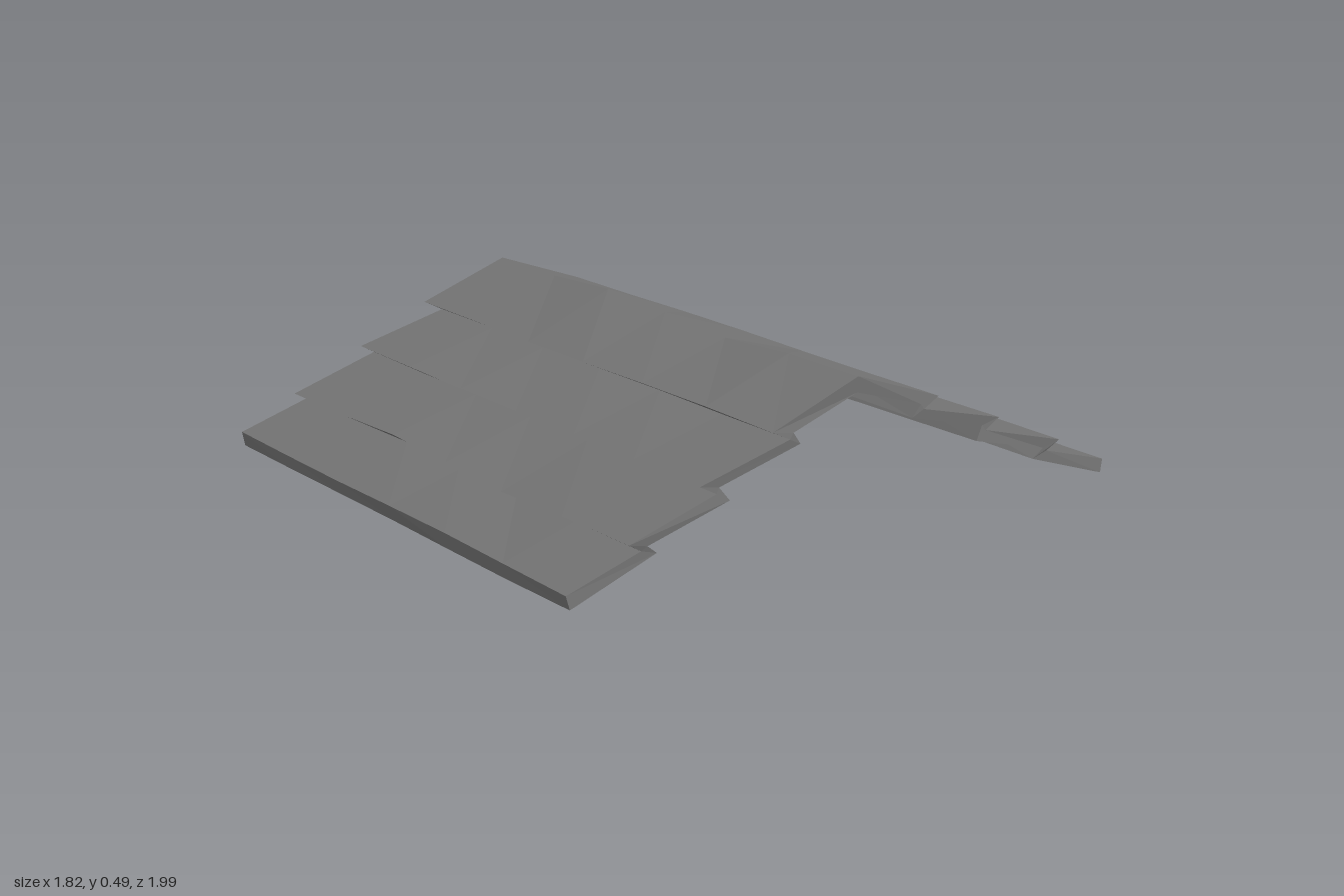
import * as THREE from 'three';

// Half of the roof section as [z, y]: ridge to eave outside, then eave to ridge underneath
const half = [
  [0, 0.478], [0.305, 0.369], [0.245, 0.34], [0.553, 0.259], [0.5, 0.232],
  [0.798, 0.146], [0.75, 0.119], [0.993, 0.05], [0.985, 0.006],
  [0.7, 0.104], [0.734, 0.132], [0.455, 0.203], [0.485, 0.248],
  [0.208, 0.32], [0.237, 0.355], [0, 0.43],
];
const mirrored = half.slice(1, -1).reverse().map(([z, y]) => [-z, y]);
const section = [...half, ...mirrored];

// Stations along the ridge, and how much the ridge sags at each
const stations = [-0.91, -0.6, -0.3, 0, 0.3, 0.6, 0.907];
const ridgeSag = [0, -0.002, 0.013, -0.002, -0.018, 0, 0];

// Hand-hewn unevenness of one section point at one station
function sectionPoint(i, s) {
  const [z, y] = section[i];
  const end = s === 0 || s === stations.length - 1;
  const wave = Math.sin(s * 1.3 + i * 2.3) * 0.002;
  let lift = wave;
  if (z === 0) lift = ridgeSag[s] * (y > 0.45 ? 1 : 0.6);
  else if (y > 0.1 && y < 0.15) lift = ridgeSag[s] * 0.5 + wave;
  return new THREE.Vector3(
    stations[s] + (end ? Math.sin(i * 4.1 + s) * 0.004 : 0),
    Math.max(0, y + lift),
    z + (z === 0 ? 0 : Math.cos(s * 1.6 + i * 1.3) * 0.003),
  );
}

function roofGeometry() {
  const n = section.length;
  const positions = [];
  const tri = (...points) => points.forEach((p) => positions.push(p.x, p.y, p.z));

  // Boards, lips and undersides between neighbouring stations
  for (let s = 0; s < stations.length - 1; s++) {
    for (let i = 0; i < n; i++) {
      const j = (i + 1) % n;
      const a = sectionPoint(i, s), b = sectionPoint(j, s);
      const c = sectionPoint(j, s + 1), d = sectionPoint(i, s + 1);
      tri(a, b, c);
      tri(a, c, d);
    }
  }

  // Gable ends
  const outline = section.map(([z, y]) => new THREE.Vector2(z, y));
  const last = stations.length - 1;
  for (const [a, b, c] of THREE.ShapeUtils.triangulateShape(outline, [])) {
    const clockwise = THREE.ShapeUtils.area([outline[a], outline[b], outline[c]]) < 0;
    const [p, q] = clockwise ? [b, c] : [c, b];
    tri(sectionPoint(a, last), sectionPoint(p, last), sectionPoint(q, last));
    tri(sectionPoint(a, 0), sectionPoint(q, 0), sectionPoint(p, 0));
  }

  const geometry = new THREE.BufferGeometry();
  geometry.setAttribute('position', new THREE.Float32BufferAttribute(positions, 3));
  geometry.computeVertexNormals();
  return geometry;
}

export function createModel() {
  const group = new THREE.Group();
  group.name = 'gableRoof';
  const material = new THREE.MeshStandardMaterial({ color: 0x737373, flatShading: true });
  const roof = new THREE.Mesh(roofGeometry(), material);
  roof.name = 'steppedRoofBoards';
  group.add(roof);
  return group;
}
